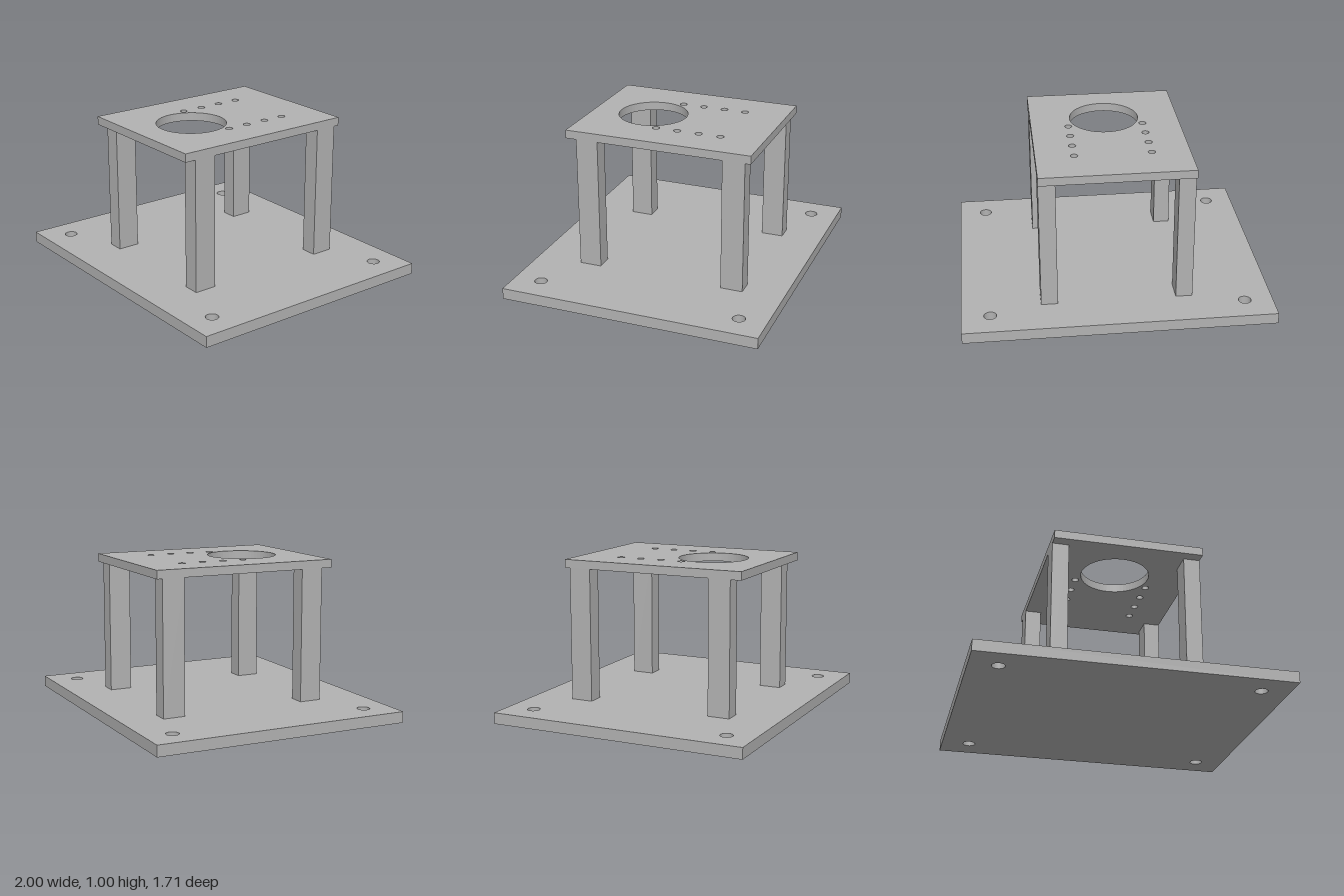
import * as THREE from 'three';

// Horizontal plate with vertical through-holes; each hole is [x, z, radius]
function drilledPlate(name, width, depth, bottom, top, holes, material) {
  const w = width / 2, d = depth / 2;
  const shape = new THREE.Shape();
  shape.moveTo(-w, -d).lineTo(w, -d).lineTo(w, d).lineTo(-w, d).closePath();
  for (const [x, z, r] of holes) {
    shape.holes.push(new THREE.Path().absarc(x, -z, r, 0, Math.PI * 2, true));
  }
  const geometry = new THREE.ExtrudeGeometry(shape, { depth: top - bottom, bevelEnabled: false, curveSegments: 32 });
  geometry.rotateX(-Math.PI / 2);
  geometry.translate(0, bottom, 0);
  const mesh = new THREE.Mesh(geometry, material);
  mesh.name = name;
  return mesh;
}

export function createModel() {
  const group = new THREE.Group();
  group.name = 'mountingStand';
  const grey = new THREE.MeshStandardMaterial({ color: 0xb2b2b2 });
  grey.name = 'grey';

  const baseTop = 0.073, deckBottom = 0.947, deckTop = 1.002;

  // Base plate with four corner bolt holes
  const boltHoles = [];
  for (const x of [-0.818, 0.818]) for (const z of [-0.673, 0.673]) boltHoles.push([x, z, 0.041]);
  group.add(drilledPlate('basePlate', 2, 1.706, 0, baseTop, boltHoles, grey));

  // Top plate with one large opening and two rows of small holes
  const deckHoles = [[0, 0.217, 0.228]];
  for (const x of [-0.245, 0.245]) {
    for (let i = 0; i < 4; i++) deckHoles.push([x, -0.338 + i * 0.1455, 0.0235]);
  }
  group.add(drilledPlate('topPlate', 0.98, 1.24, deckBottom, deckTop, deckHoles, grey));

  // Four legs, flush with the sides of the top plate
  const height = deckBottom - baseTop;
  const legGeometry = new THREE.BoxGeometry(0.108, height, 0.147);
  for (const [end, z] of [['front', 0.474], ['back', -0.51]]) {
    for (const [side, x] of [['Left', 0.436], ['Right', -0.436]]) {
      const leg = new THREE.Mesh(legGeometry, grey);
      leg.name = `${end}${side}Leg`;
      leg.position.set(x, baseTop + height / 2, z);
      group.add(leg);
    }
  }
  return group;
}
